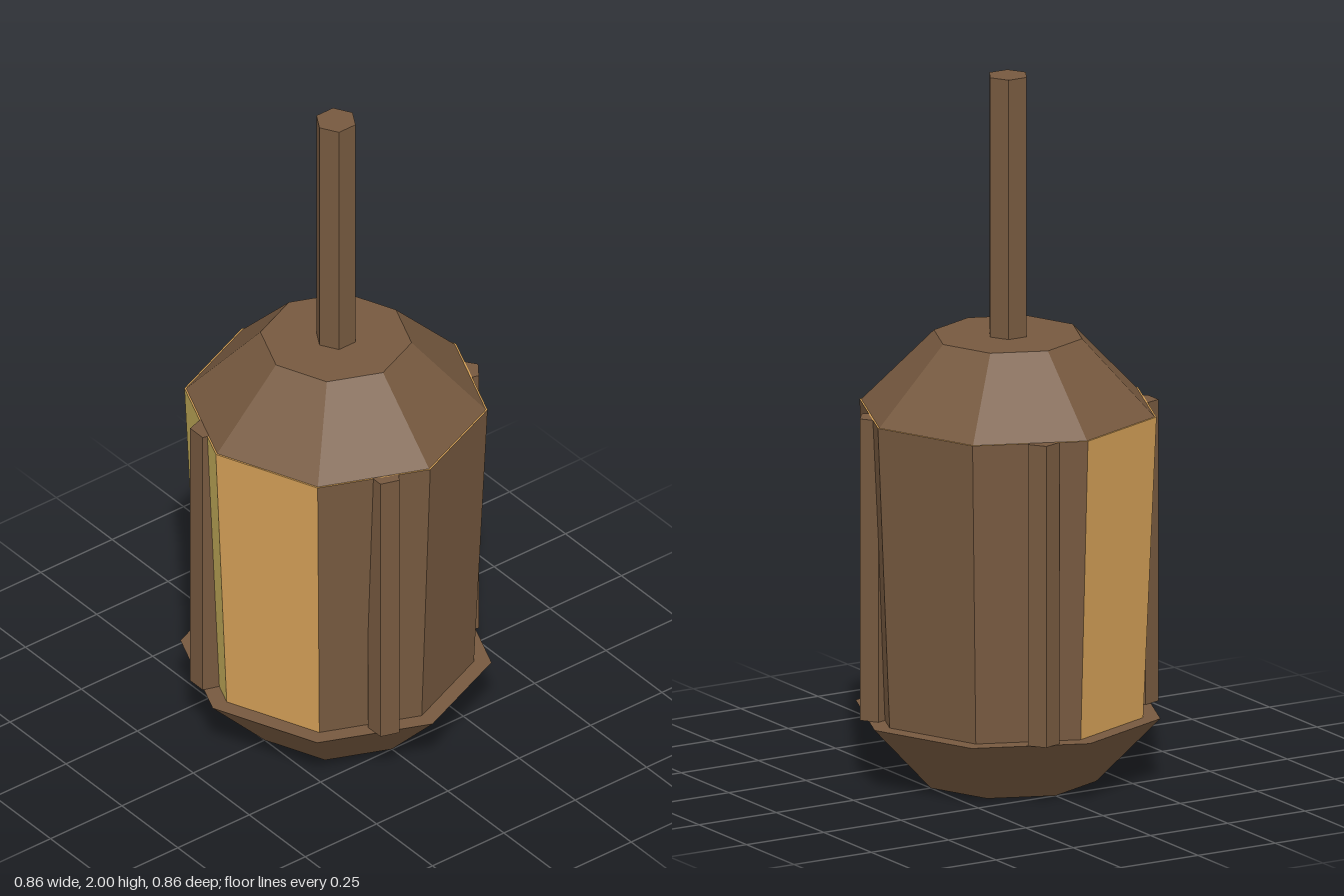
import * as THREE from 'three';

const mat = (name, color) => {
  const m = new THREE.MeshStandardMaterial({ color });
  m.name = name;
  return m;
};

// Faceted prism or frustum standing between two heights
function frustum(rTop, rBottom, y0, y1, sides) {
  const g = new THREE.CylinderGeometry(rTop, rBottom, y1 - y0, sides);
  g.translate(0, (y0 + y1) / 2, 0);
  const flat = g.toNonIndexed();
  flat.computeVertexNormals();
  return flat;
}

export function createModel() {
  const wood = mat('brown wood', 0x76593f);
  const amber = mat('amber glass', 0xd4a057);
  const olive = mat('olive glass', 0xc8b05c);
  const model = new THREE.Group();
  model.name = 'lantern';

  const add = (name, geometry, material) => {
    const mesh = new THREE.Mesh(geometry, material);
    mesh.name = name;
    model.add(mesh);
    return mesh;
  };

  // Tapered octagonal base and roof
  add('base', frustum(0.432, 0.25, 0, 0.19, 8), wood);
  add('roof', frustum(0.21, 0.416, 1.05, 1.26, 8), wood);

  // Body: five wooden panels, three glazed ones, amber rim under the roof
  const body = frustum(0.421, 0.383, 0.19, 1.05, 8);
  body.clearGroups();
  const panels = [0, 0, 0, 0, 1, 2, 1, 0];
  panels.forEach((m, i) => body.addGroup(i * 6, 6, m));
  body.addGroup(48, 48, 1);
  add('body', body, [wood, amber, olive]);

  // Four upright five-sided posts, all turned the same way
  for (let i = 0; i < 4; i++) {
    const a = 0.3 + (i * Math.PI) / 2;
    const post = add('post', frustum(0.047, 0.047, 0.19, 1.05, 5), wood);
    post.position.set(0.38 * Math.cos(a), 0, 0.38 * Math.sin(a));
    post.rotation.y = Math.PI / 2;
  }

  // Hexagonal hanging pole
  const pole = add('pole', frustum(0.058, 0.058, 1.26, 2, 6), wood);
  pole.rotation.y = Math.PI / 2;

  return model;
}
